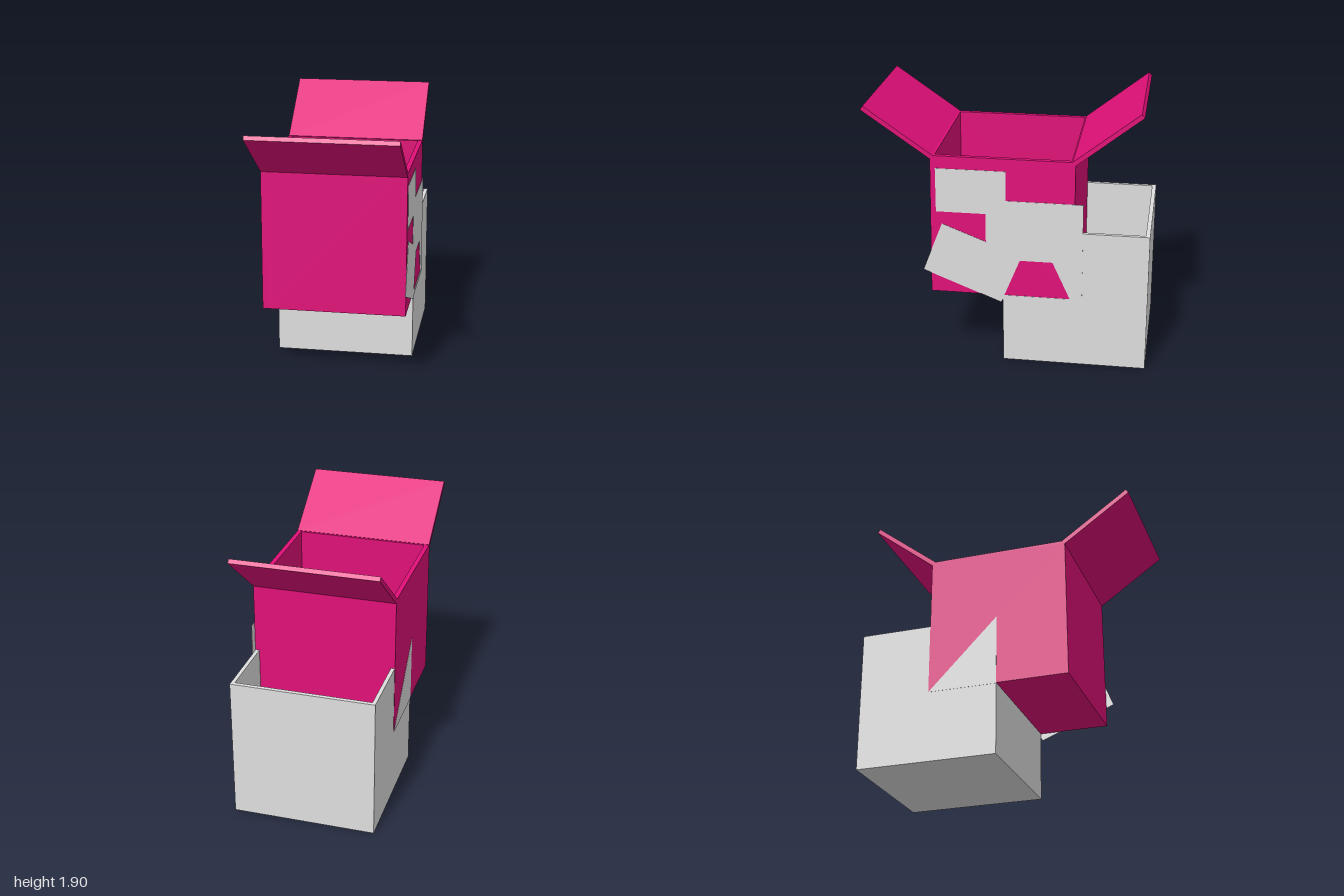
import * as THREE from 'three';

export function createModel() {
  const model = new THREE.Group();
  model.name = 'stackedOpenBoxes';

  const pink = new THREE.MeshStandardMaterial({ color: 0xe00f78 });
  pink.name = 'pink';
  const grey = new THREE.MeshStandardMaterial({ color: 0xdedede });
  grey.name = 'light grey';

  // Side profile of [z, y] points, extruded from x0 to x1
  function prism(name, points, x0, x1, material, parent, holes = []) {
    const shape = new THREE.Shape(points.map(([z, y]) => new THREE.Vector2(z, y)));
    for (const hole of holes) {
      shape.holes.push(new THREE.Path(hole.map(([z, y]) => new THREE.Vector2(z, y))));
    }
    const geometry = new THREE.ExtrudeGeometry(shape, { depth: x1 - x0, bevelEnabled: false });
    geometry.rotateY(-Math.PI / 2).translate(x1, 0, 0);
    const mesh = new THREE.Mesh(geometry, material);
    mesh.name = name;
    parent.add(mesh);
  }

  const rect = (z0, z1, y0, y1) => [[z0, y0], [z1, y0], [z1, y1], [z0, y1]];

  // Lower box, open at the top
  const lower = new THREE.Group();
  lower.name = 'lowerBox';
  model.add(lower);
  const gw = 0.507, gi = 0.48;
  prism('lowerFloor', rect(-0.97, -0.02, 0, 0.03), -gi, gi, grey, lower);
  prism('lowerBackWall', rect(-1, -0.97, 0, 1.02), -gi, gi, grey, lower);
  prism('lowerFrontWall', rect(-0.02, 0.02, 0, 1.02), -gi, gi, grey, lower);
  for (const [name, x0, x1] of [['lowerLeftWall', gi, gw], ['lowerRightWall', -gw, -gi]]) {
    prism(name, rect(-1, 0.02, 0, 1.02), x0, x1, grey, lower);
  }

  // Upper box, open at the top, its front leaning slightly
  const upper = new THREE.Group();
  upper.name = 'upperBox';
  model.add(upper);
  const pw = 0.509, pi = 0.475;
  const sideProfile = [[-0.48, 0.515], [0.535, 0.515], [0.525, 1.52], [0.51, 1.54], [-0.465, 1.54], [-0.48, 1.52]];
  prism('upperFloor', rect(-0.45, 0.5, 0.515, 0.545), -pi, pi, pink, upper);
  prism('upperBackWall', [[-0.48, 0.515], [-0.45, 0.515], [-0.45, 1.54], [-0.465, 1.54], [-0.48, 1.52]], -pi, pi, pink, upper);
  prism('upperFrontWall', [[0.5, 0.515], [0.535, 0.515], [0.525, 1.52], [0.51, 1.54], [0.495, 1.54]], -pi, pi, pink, upper);
  prism('upperLeftWall', sideProfile, pi, pw, pink, upper);
  prism('upperRightWall', sideProfile, -pw, -pi, pink, upper);

  // Lid flaps opened to the front and back
  prism('frontFlap', [[0.525, 1.515], [1, 1.845], [0.982, 1.872], [0.508, 1.543]], -pw, pw, pink, upper);
  prism('backFlap', [[-0.48, 1.515], [-0.46, 1.543], [-0.912, 1.9], [-0.932, 1.875]], -pw, pw, pink, upper);

  // Thin cut-out panel on the left side, with a trapezoid window
  prism('sidePanel', [
    [0.49, 1.45], [0, 1.45], [0, 1.235], [-0.54, 1.235], [-0.54, 0.48], [0.02, 0.48],
    [0.035, 0.46], [0.59, 0.68], [0.45, 1.04], [0.14, 0.92], [0.14, 1.13], [0.49, 1.13],
  ], 0.5095, 0.512, grey, model, [[[0.01, 0.516], [-0.455, 0.516], [-0.33, 0.79], [-0.1, 0.79]]]);

  // Corner of the lower box that shows over the upper one on the right side
  prism('cornerPlate', [[-0.48, 0.51], [0.02, 0.51], [0.02, 1.02]], -0.511, -0.5095, grey, model);

  return model;
}
